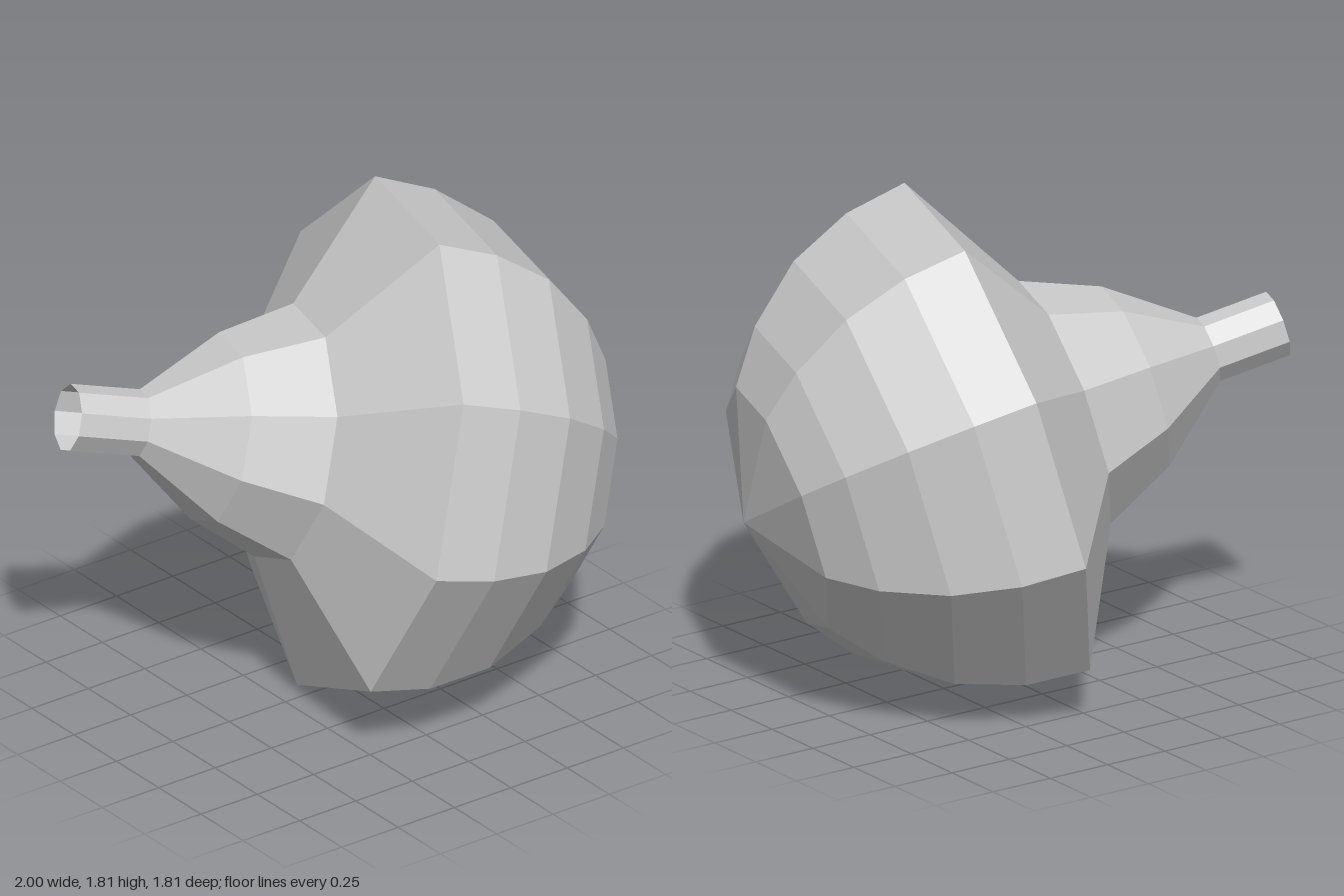
import * as THREE from 'three';

const SIDES = 9;

export function createModel() {
  const group = new THREE.Group();
  group.name = 'spinningTop';
  const material = new THREE.MeshStandardMaterial({
    color: 0xcccccc, flatShading: true, side: THREE.DoubleSide,
  });

  // Each part is a nine-sided turned shape; points are [radius, distance along the axis]
  const turned = (name, points) => {
    const geometry = new THREE.LatheGeometry(points.map(([r, t]) => new THREE.Vector2(r, t)), SIDES);
    const mesh = new THREE.Mesh(geometry, material);
    mesh.name = name;
    group.add(mesh);
  };

  // Hollow stem, open at the far end
  turned('stem', [[0.122, 0], [0.122, 0.27]]);

  // Flared shoulder between the stem and the body
  turned('shoulder', [[0.122, 0.27], [0.346, 0.56], [0.468, 0.838]]);

  // Sloping back of the body, out to the rim
  turned('bodyBack', [[0.468, 0.838], [0.94, 1.115]]);

  // Rounded dome from the rim to the pole
  turned('dome', [[0.94, 1.115], [0.911, 1.35], [0.816, 1.587], [0.645, 1.797], [0.465, 1.932], [0, 2.065]]);

  // Tilt the axis and turn it so one corner of the rim points up
  const axis = new THREE.Vector3(0.925, -0.254, 0.283).normalize();
  const corner = new THREE.Vector3(0.149, 0.863, 0.314);
  corner.addScaledVector(axis, -corner.dot(axis)).normalize();
  const across = new THREE.Vector3().crossVectors(axis, corner);
  group.quaternion.setFromRotationMatrix(new THREE.Matrix4().makeBasis(across, axis, corner));
  group.position.set(-0.96, 1.23, -0.34);

  const model = new THREE.Group();
  model.name = 'model';
  model.add(group);
  return model;
}
